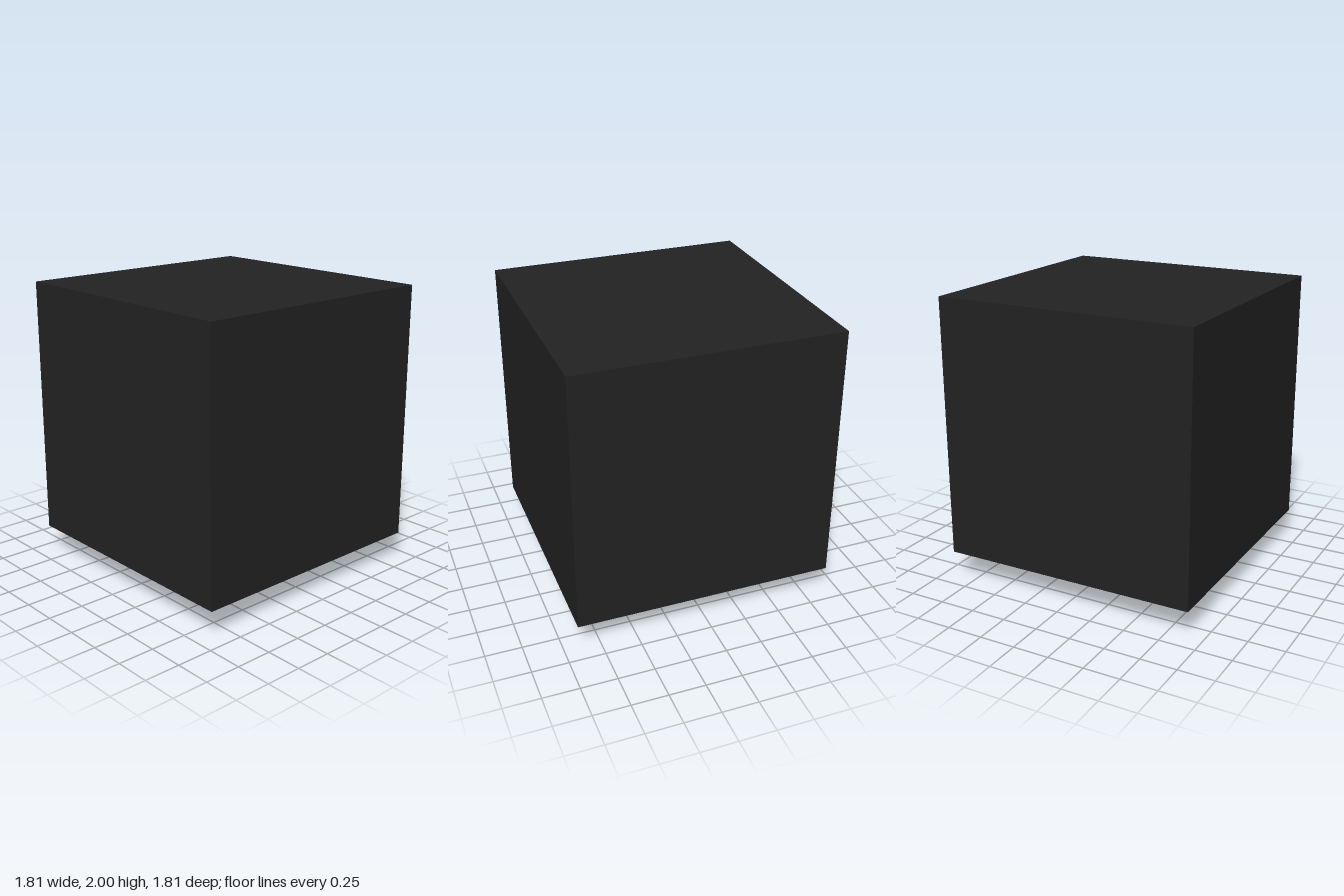
import * as THREE from 'three';

export function createModel() {
  const model = new THREE.Group();
  model.name = 'ceilingLamp';

  const black = new THREE.MeshStandardMaterial({ color: 0x222222 });
  black.name = 'black housing';
  const cream = new THREE.MeshStandardMaterial({ color: 0xdfd2ae });
  cream.name = 'cream glass';

  const outer = 0.905, inner = 0.71, bottom = 0.19, top = 2;
  const wall = outer - inner;

  function add(name, geometry, material, y) {
    const mesh = new THREE.Mesh(geometry, material);
    mesh.name = name;
    mesh.position.y = y;
    model.add(mesh);
  }

  function square(path, h) {
    path.moveTo(-h, -h);
    path.lineTo(h, -h);
    path.lineTo(h, h);
    path.lineTo(-h, h);
    path.closePath();
    return path;
  }

  // Four thick walls around a square opening
  const outline = square(new THREE.Shape(), outer);
  outline.holes.push(square(new THREE.Path(), inner));
  const walls = new THREE.ExtrudeGeometry(outline, {
    depth: top - wall - bottom, bevelEnabled: false,
  });
  walls.rotateX(-Math.PI / 2);
  add('housingWalls', walls, black, bottom);

  // Closed top of the housing
  add('housingTop', new THREE.BoxGeometry(outer * 2, wall, outer * 2), black, top - wall / 2);

  // Coarse, smooth-shaded globe hanging below the rim
  const radius = 0.653;
  add('globe', new THREE.SphereGeometry(radius, 8, 8), cream, radius);

  return model;
}
